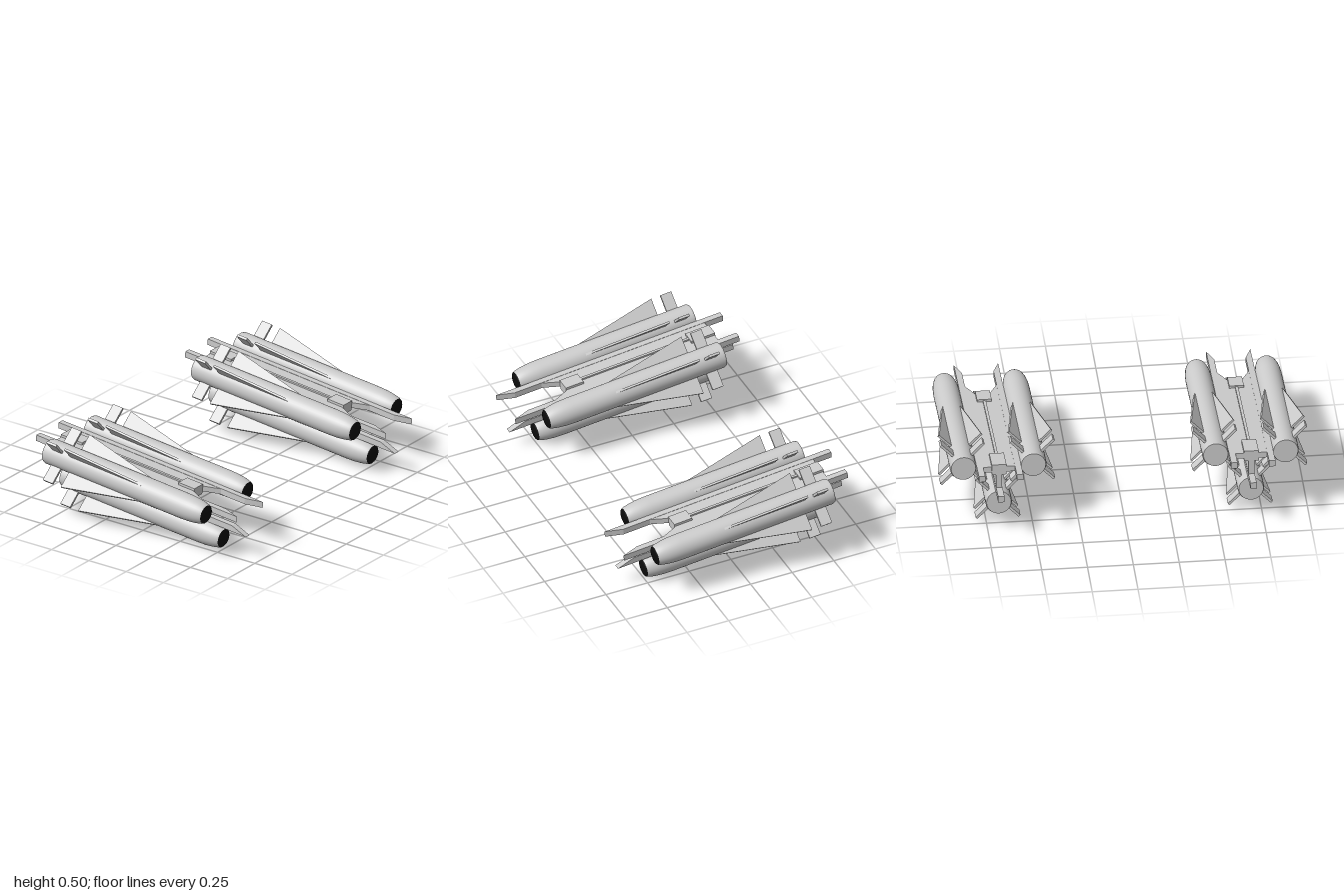
import * as THREE from 'three';

const gray = new THREE.MeshStandardMaterial({ color: 0xcccccc });
gray.name = 'light gray';
const black = new THREE.MeshStandardMaterial({ color: 0x0c0c0c });
black.name = 'black';

function mesh(name, geometry, material = gray) {
  const m = new THREE.Mesh(geometry, material);
  m.name = name;
  return m;
}

// Flat plate drawn in (length, radius) and centred on its thickness
function plate(points, thickness) {
  const shape = new THREE.Shape(points.map(([s, r]) => new THREE.Vector2(s, r)));
  const g = new THREE.ExtrudeGeometry(shape, { depth: thickness, bevelEnabled: false });
  return g.translate(0, 0, -thickness / 2);
}

// Turned body whose axis runs along +x; points are [radius, length]
function turned(points) {
  const g = new THREE.LatheGeometry(points.map(([r, s]) => new THREE.Vector2(r, s)), 36);
  return g.rotateZ(-Math.PI / 2);
}

const bodyGeo = turned([[0.067, 0], [0.072, 0.012], [0.072, 0.5], [0.072, 0.91], [0.07, 0.965],
  [0.065, 1.01], [0.058, 1.043], [0.053, 1.056]]);
const tailGeo = turned([[0, 0], [0.067, 0]]);
const noseGeo = turned([[0.053, 1.056], [0.046, 1.062], [0.028, 1.066], [0, 1.068]]);
const wingGeo = plate([[0.177, 0.05], [0.66, 0.05], [0.66, 0.071], [0.177, 0.166]], 0.012);
const finGeo = plate([[0.057, 0.05], [0.122, 0.05], [0.122, 0.166], [0.057, 0.166]], 0.014);
const railGeo = plate([[-0.14, 0.07], [1.212, 0.07], [1.115, 0.105], [-0.14, 0.105]], 0.035);

// Missile with four wings and four tail fins in an X
function missile() {
  const g = new THREE.Group();
  g.name = 'missile';
  g.add(mesh('body', bodyGeo), mesh('tailEnd', tailGeo), mesh('noseCap', noseGeo, black));
  for (let i = 0; i < 4; i++) {
    const wing = mesh('wing', wingGeo);
    const fin = mesh('tailFin', finGeo);
    wing.rotation.x = fin.rotation.x = Math.PI / 4 + (i * Math.PI) / 2;
    g.add(wing, fin);
  }
  return g;
}

// Missile with its launch rail and the arm that reaches the hub
function station(y, z, reach, turn) {
  const g = new THREE.Group();
  g.name = 'launchStation';
  g.position.set(0, y, z);
  const mount = new THREE.Group();
  mount.name = 'railMount';
  mount.rotation.x = turn;
  const arm = plate([[-0.03, 0.105], [0.955, 0.105], [0.86, 0.15], [0.86, reach], [-0.03, reach]], 0.032);
  mount.add(mesh('launchRail', railGeo), mesh('supportArm', arm));
  g.add(missile(), mount);
  return g;
}

function box(name, s0, s1, height, width) {
  const m = mesh(name, new THREE.BoxGeometry(s1 - s0, height, width));
  m.position.x = (s0 + s1) / 2;
  return m;
}

// Triple launcher, tilted nose down
function launcher(z) {
  const g = new THREE.Group();
  g.name = 'tripleLauncher';
  g.position.set(-0.535, 0.39, z);
  g.rotation.z = -0.0995;
  g.add(
    station(0, 0.191, 0.191, -Math.PI / 2),
    station(0, -0.191, 0.191, Math.PI / 2),
    station(-0.216, 0, 0.216, 0),
    box('rearHub', -0.035, 0.107, 0.06, 0.08),
    box('frontHub', 0.758, 0.865, 0.06, 0.08),
    box('hubSpine', 0.107, 0.758, 0.05, 0.016),
  );
  return g;
}

export function createModel() {
  const model = new THREE.Group();
  model.name = 'missileLaunchers';
  for (const side of [1, -1]) model.add(launcher(side * 0.688));
  return model;
}
